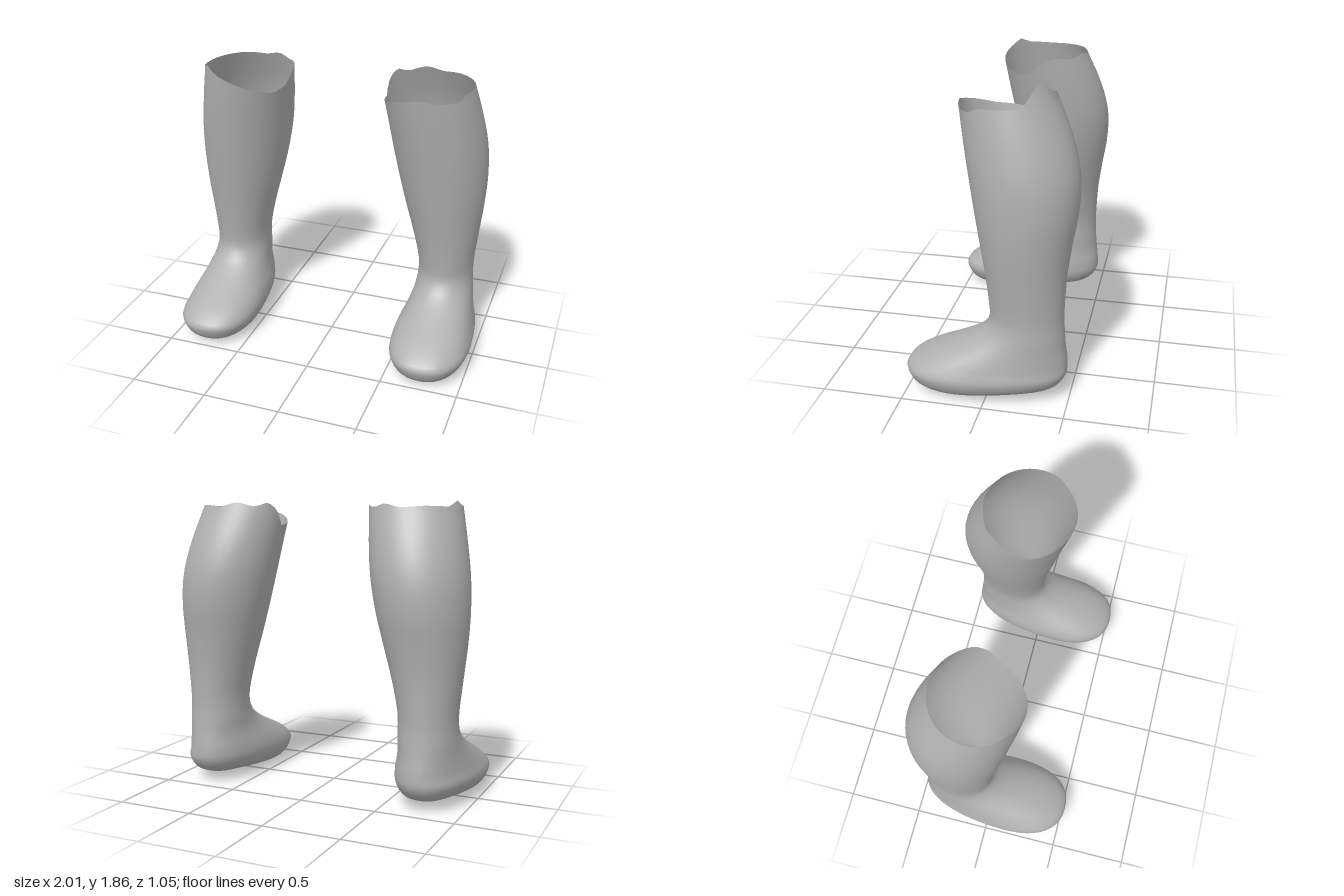
import * as THREE from 'three';

// Boot cross-sections: height, inner x, outer x, back z, front z, forward skew, squareness
const SECTIONS = [
  [0.00, 0.65, 0.84, -0.30, 0.36, 0.10, 0.85],
  [0.02, 0.58, 0.91, -0.36, 0.43, 0.12, 0.85],
  [0.05, 0.53, 0.96, -0.42, 0.48, 0.13, 0.85],
  [0.10, 0.50, 0.99, -0.46, 0.51, 0.14, 0.85],
  [0.15, 0.49, 1.00, -0.48, 0.52, 0.14, 0.85],
  [0.20, 0.495, 0.985, -0.48, 0.47, 0.13, 0.87],
  [0.25, 0.51, 0.97, -0.478, 0.38, 0.11, 0.88],
  [0.30, 0.53, 0.955, -0.472, 0.27, 0.08, 0.90],
  [0.36, 0.548, 0.94, -0.465, 0.15, 0.04, 0.93],
  [0.42, 0.555, 0.93, -0.46, 0.055, 0, 0.96],
  [0.50, 0.56, 0.922, -0.455, 0.00, 0, 1],
  [0.60, 0.555, 0.925, -0.455, 0.00, 0, 1],
  [0.80, 0.51, 0.945, -0.465, 0.025, 0, 1],
  [1.00, 0.455, 0.965, -0.49, 0.06, 0, 1],
  [1.20, 0.405, 0.975, -0.52, 0.095, 0, 1],
  [1.40, 0.365, 0.965, -0.52, 0.13, 0, 1],
  [1.60, 0.335, 0.93, -0.47, 0.165, 0, 1],
  [1.82, 0.305, 0.88, -0.375, 0.20, 0, 1],
  [1.90, 0.295, 0.86, -0.34, 0.213, 0, 1],
];

// Ragged rim heights by angle: 0 front, 90 outer, 180 back, 270 inner
const LEFT_RIM = [[0, 1.80], [30, 1.78], [50, 1.785], [65, 1.82], [90, 1.825], [150, 1.83], [175, 1.82],
  [193, 1.85], [220, 1.82], [235, 1.85], [252, 1.80], [270, 1.70], [300, 1.72], [330, 1.765], [360, 1.80]];
const RIGHT_RIM = [[0, 1.78], [25, 1.82], [45, 1.86], [60, 1.83], [90, 1.82], [150, 1.83], [180, 1.82],
  [200, 1.845], [220, 1.82], [250, 1.835], [270, 1.79], [285, 1.73], [305, 1.70], [330, 1.73], [360, 1.78]];

const ROWS = 44, SIDES = 48;

function rimHeight(rim, degrees) {
  let i = 0;
  while (i < rim.length - 2 && degrees > rim[i + 1][0]) i++;
  const [a, ya] = rim[i], [b, yb] = rim[i + 1];
  return THREE.MathUtils.lerp(ya, yb, (degrees - a) / (b - a));
}

// Smooth interpolation between neighbouring sections
function sectionAt(y) {
  let i = 0;
  while (i < SECTIONS.length - 2 && y > SECTIONS[i + 1][0]) i++;
  const a = SECTIONS[i], b = SECTIONS[i + 1];
  const p = SECTIONS[Math.max(i - 1, 0)], q = SECTIONS[Math.min(i + 2, SECTIONS.length - 1)];
  const h = b[0] - a[0], t = (y - a[0]) / h, t2 = t * t, t3 = t2 * t;
  return a.map((v, k) => {
    const ma = h * (b[k] - p[k]) / (b[0] - p[0]);
    const mb = h * (q[k] - v) / (q[0] - a[0]);
    return (2 * t3 - 3 * t2 + 1) * v + (t3 - 2 * t2 + t) * ma + (3 * t2 - 2 * t3) * b[k] + (t3 - t2) * mb;
  });
}

function surfacePoint(angle, y) {
  const [, inner, outer, back, front, skew, power] = sectionAt(y);
  const s = Math.sin(angle), c = Math.cos(angle);
  const sx = Math.sign(s) * Math.abs(s) ** power, cz = Math.sign(c) * Math.abs(c) ** power;
  const x = (inner + outer) / 2 + (outer - inner) / 2 * sx * (1 + skew * cz);
  const z = (front + back) / 2 + (front - back) / 2 * cz;
  // raised heel and arch
  const lift = 0.04 * (1 - THREE.MathUtils.smoothstep(z, -0.3, 0.25)) * Math.max(0, 1 - y / 0.3);
  return [x, y + lift, z];
}

function bootGeometry(side, rim) {
  const positions = [], index = [];
  for (let j = 0; j <= ROWS; j++) {
    const t = (j / ROWS) ** 1.7; // rows crowd towards the foot
    for (let i = 0; i < SIDES; i++) {
      const u = i / SIDES;
      const top = rimHeight(rim, u * 360);
      // the rim's raggedness fades out below the edge
      const y = t * THREE.MathUtils.lerp(1.8, top, t ** 4);
      const [x, py, z] = surfacePoint(u * Math.PI * 2, y);
      positions.push(side * x, py, z);
    }
  }
  const quad = (a, b, c, d) => side > 0
    ? index.push(a, b, c, a, c, d) : index.push(a, c, b, a, d, c);
  for (let j = 0; j < ROWS; j++) {
    for (let i = 0; i < SIDES; i++) {
      const n = (i + 1) % SIDES, r = j * SIDES, s = r + SIDES;
      quad(r + i, r + n, s + n, s + i);
    }
  }
  // closed sole
  const centre = positions.length / 3;
  positions.push(side * 0.745, 0.012, 0.03);
  for (let i = 0; i < SIDES; i++) {
    const n = (i + 1) % SIDES;
    if (side > 0) index.push(centre, n, i);
    else index.push(centre, i, n);
  }
  const geometry = new THREE.BufferGeometry();
  geometry.setAttribute('position', new THREE.Float32BufferAttribute(positions, 3));
  geometry.setIndex(index);
  geometry.computeVertexNormals();
  return geometry;
}

export function createModel() {
  const grey = new THREE.MeshStandardMaterial({ color: 0xb0b0b0, side: THREE.DoubleSide });
  grey.name = 'boot grey';
  const group = new THREE.Group();
  group.name = 'pair of boots';
  for (const [name, side, rim] of [['leftBoot', 1, LEFT_RIM], ['rightBoot', -1, RIGHT_RIM]]) {
    const boot = new THREE.Mesh(bootGeometry(side, rim), grey);
    boot.name = name;
    group.add(boot);
  }
  return group;
}
